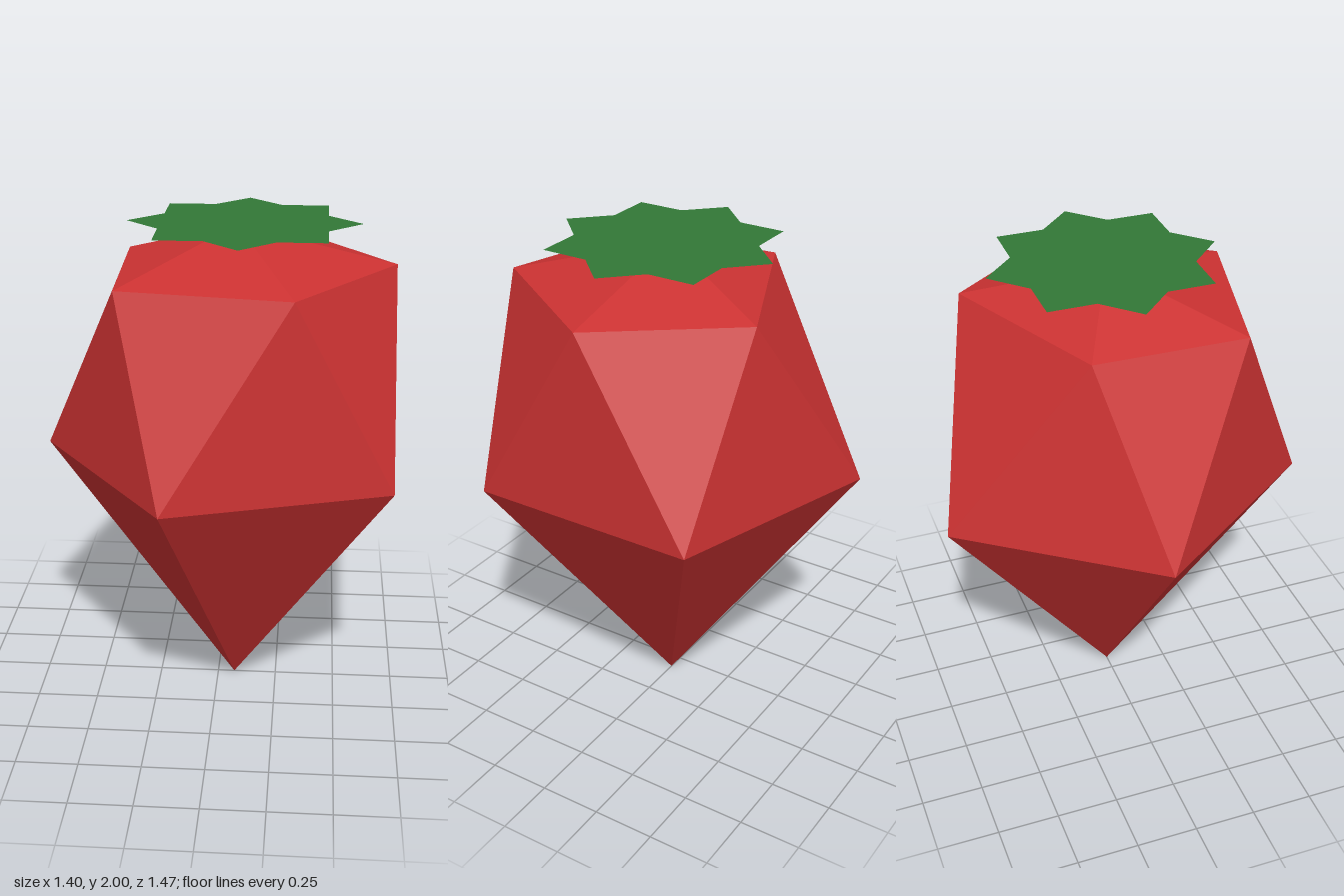
import * as THREE from 'three';

// Low-poly fruit: two staggered five-point rings closed by a crown and a long tip
function createFruit() {
  const tip = [0.07, 0.005, 0];
  const crown = [0.07, 1.99, 0];
  const lower = [[0.7, 0.46], [-0.17, 0.735], [-0.7, 0], [-0.17, -0.735], [0.7, -0.46]]
    .map(([x, z]) => [x, 1.07, z]);
  const upper = [[0.31, 1.845, 0.565], [-0.36, 1.83, 0.41], [-0.375, 1.845, -0.21],
    [0.31, 1.845, -0.515], [0.695, 1.845, 0]];

  const corners = [];
  for (let i = 0; i < 5; i++) {
    const j = (i + 1) % 5;
    corners.push(
      tip, lower[i], lower[j],
      lower[i], upper[i], lower[j],
      upper[i], upper[j], lower[j],
      crown, upper[j], upper[i],
    );
  }
  const geometry = new THREE.BufferGeometry();
  geometry.setAttribute('position', new THREE.Float32BufferAttribute(corners.flat(), 3));
  geometry.computeVertexNormals();

  const fruit = new THREE.Mesh(geometry,
    new THREE.MeshStandardMaterial({ color: 0xcc3232, flatShading: true }));
  fruit.name = 'fruit';
  return fruit;
}

// Flat eight-pointed leaf resting on the crown
function createLeaf() {
  const points = [];
  for (let i = 0; i < 16; i++) {
    const radius = i % 2 ? 0.351 : 0.458;
    const angle = (i * Math.PI) / 8;
    points.push(new THREE.Vector2(radius * Math.cos(angle), radius * Math.sin(angle)));
  }
  const geometry = new THREE.ShapeGeometry(new THREE.Shape(points));
  geometry.rotateX(-Math.PI / 2);

  const leaf = new THREE.Mesh(geometry,
    new THREE.MeshStandardMaterial({ color: 0x327836, side: THREE.DoubleSide }));
  leaf.name = 'leaf';
  leaf.position.set(0.101, 2, 0);
  return leaf;
}

export function createModel() {
  const model = new THREE.Group();
  model.name = 'strawberry';
  model.add(createFruit(), createLeaf());
  return model;
}
